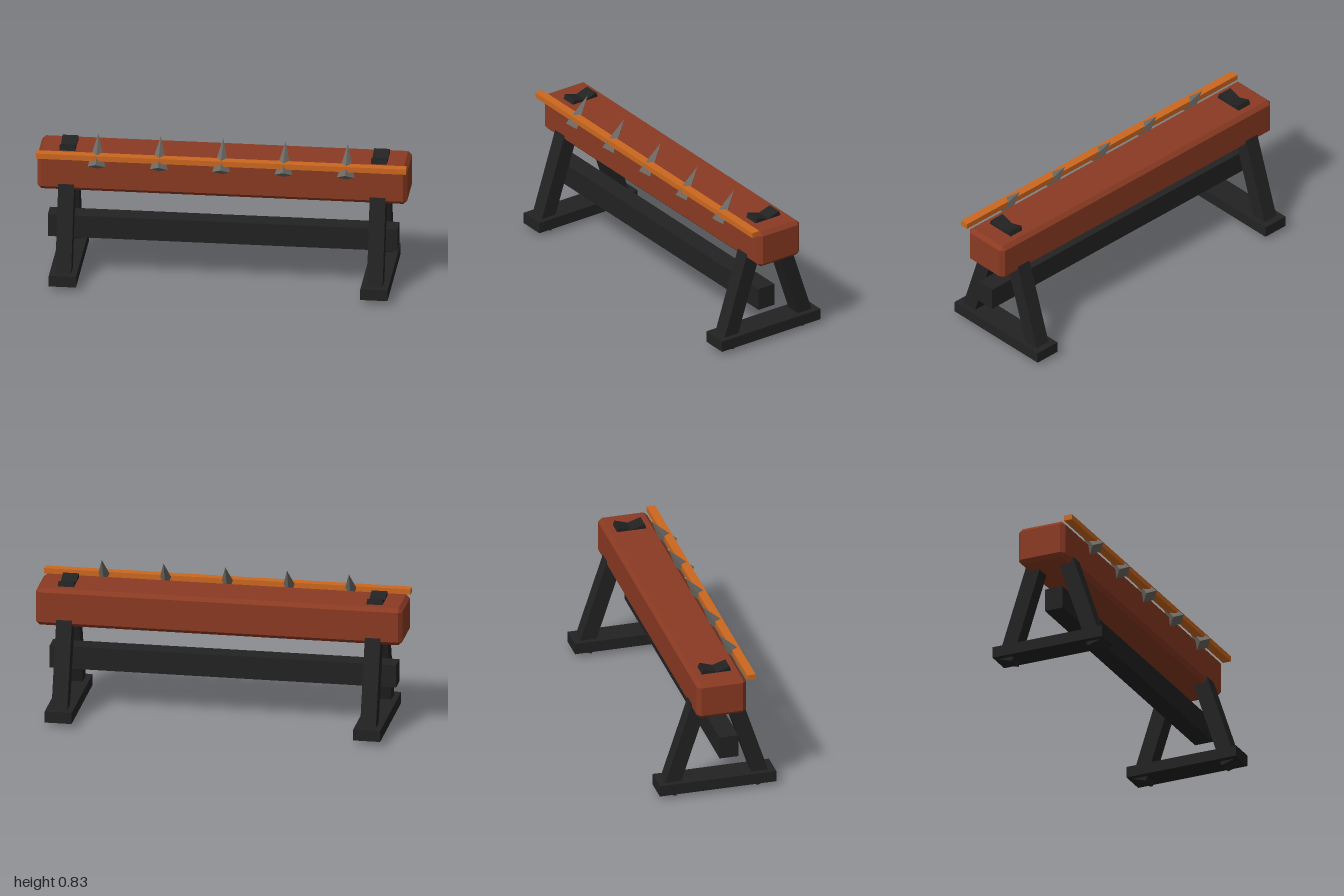
import * as THREE from 'three';
import { ConvexGeometry } from 'three/addons/geometries/ConvexGeometry.js';

function material(name, color) {
  const m = new THREE.MeshStandardMaterial({ color });
  m.name = name;
  return m;
}

// Box with every edge and corner cut flat
function chamferedBox(w, h, d, c) {
  const points = [];
  const [x, y, z] = [w / 2, h / 2, d / 2];
  for (const sx of [-1, 1]) for (const sy of [-1, 1]) for (const sz of [-1, 1]) {
    points.push(
      new THREE.Vector3(sx * x, sy * (y - c), sz * (z - c)),
      new THREE.Vector3(sx * (x - c), sy * y, sz * (z - c)),
      new THREE.Vector3(sx * (x - c), sy * (y - c), sz * z));
  }
  return new ConvexGeometry(points);
}

export function createModel() {
  const model = new THREE.Group();
  model.name = 'spikedBarrier';

  const redWood = material('redWood', 0x8a3a22);
  const darkWood = material('darkWood', 0x222222);
  const orangeWood = material('orangeWood', 0xcc681f);
  const iron = material('iron', 0x6e6a64);

  function add(name, geometry, mat, x, y, z, tilt = 0) {
    const mesh = new THREE.Mesh(geometry, mat);
    mesh.name = name;
    mesh.position.set(x, y, z);
    mesh.rotation.x = tilt;
    model.add(mesh);
  }

  // Main beam, low stretcher and front rail
  add('beam', chamferedBox(2, 0.21, 0.275, 0.021), redWood, 0, 0.616, 0);
  add('stretcher', new THREE.BoxGeometry(1.89, 0.126, 0.105), darkWood, 0, 0.291, 0.053);
  add('rail', new THREE.BoxGeometry(2, 0.03, 0.047), orangeWood, 0, 0.727, 0.163);

  // Trestles: a foot and two legs that cross through the beam top
  const foot = new THREE.BoxGeometry(0.147, 0.062, 0.65);
  const leg = new THREE.BoxGeometry(0.086, 0.755, 0.086);
  const splay = THREE.MathUtils.degToRad(18);
  for (const side of [-1, 1]) {
    const x = side * 0.842;
    add('foot', foot, darkWood, x, 0.059, 0);
    for (const end of [-1, 1]) add('leg', leg, darkWood, x, 0.375, end * 0.149, -end * splay);
  }

  // Four-sided spikes leaning back over the beam
  const spike = new THREE.ConeGeometry(0.048, 0.187, 4).toNonIndexed();
  spike.computeVertexNormals();
  for (let i = -2; i <= 2; i++) add('spike', spike, iron, i * 0.337, 0.7535, 0.1265, -0.6);

  return model;
}
